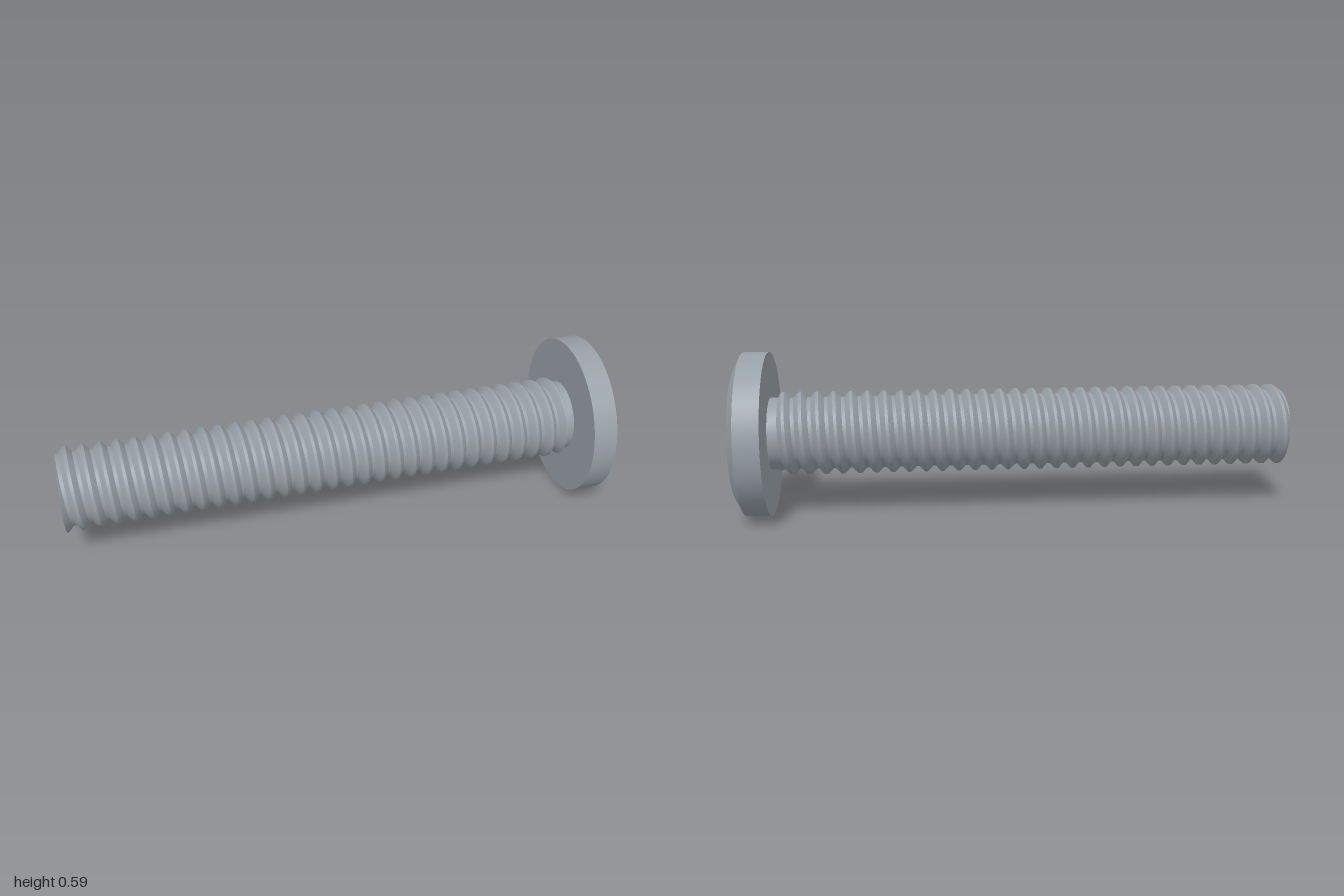
import * as THREE from 'three';
import { toCreasedNormals } from 'three/addons/utils/BufferGeometryUtils.js';

const HEAD_R = 0.295, FACE_R = 0.245, CORE_R = 0.13, THREAD_R = 0.15;
const HEX_R = 0.122, HEX_ANGLE = THREE.MathUtils.degToRad(-11);
const HEAD_Z = 0.884, THREAD_END = 0.85, PITCH = 0.06;

// Lathe around z instead of y; points are [radius, z]
function latheZ(points, segments, start = 0) {
  const pts = points.map(([r, z]) => new THREE.Vector2(r, z));
  return new THREE.LatheGeometry(pts, segments, start).rotateX(Math.PI / 2);
}

// One helical surface: profile rows are sheared along z by the angle, then clipped to the shank
function threadGeometry() {
  const profile = [[0, 0], [0.1, 0], [0.26, 0.55], [0.41, 1], [0.59, 1], [0.74, 0.55], [0.9, 0]];
  const height = (f) => {
    f -= Math.floor(f);
    for (let i = 1; i < profile.length; i++) {
      const [f0, h0] = profile[i - 1], [f1, h1] = profile[i];
      if (f <= f1) return h0 + (h1 - h0) * (f - f0) / (f1 - f0);
    }
    return 0;
  };
  const segments = 64, crest = -0.963;
  const first = crest - 0.75 * PITCH; // puts a crest on the top line
  const rows = [];
  for (let turn = -2; turn < 33; turn++) {
    for (const [f] of profile) rows.push(turn + f);
  }
  const pos = [], index = [];
  const addRow = (fn) => {
    for (let j = 0; j <= segments; j++) {
      const t = (j / segments) * Math.PI * 2;
      const [r, z] = fn(j / segments);
      pos.push(r * Math.cos(t), r * Math.sin(t), z);
    }
  };
  addRow(() => [0, -1]); // flat end
  for (const u of rows) {
    addRow((s) => {
      const z = THREE.MathUtils.clamp(first + (u + s) * PITCH, -1, THREAD_END);
      const h = height((z - first) / PITCH - s);
      return [CORE_R + (THREAD_R - CORE_R) * h, z];
    });
  }
  addRow(() => [CORE_R, THREAD_END]); // plain neck below the head
  addRow(() => [CORE_R, HEAD_Z]);
  const w = segments + 1, count = pos.length / 3 / w;
  for (let i = 0; i < count - 1; i++) {
    for (let j = 0; j < segments; j++) {
      const a = i * w + j, b = a + 1, c = a + w, d = c + 1;
      index.push(a, b, c, b, d, c);
    }
  }
  const geo = new THREE.BufferGeometry();
  geo.setAttribute('position', new THREE.Float32BufferAttribute(pos, 3));
  geo.setIndex(index);
  return toCreasedNormals(geo, 0.5);
}

export function createModel() {
  // Blue-grey steel
  const smooth = new THREE.MeshStandardMaterial({ color: 0x979fa7 });
  const flat = new THREE.MeshStandardMaterial({ color: 0x979fa7, flatShading: true });
  const model = new THREE.Group();
  model.name = 'screw';
  const add = (name, geo, mat = smooth) => {
    const mesh = new THREE.Mesh(geo, mat);
    mesh.name = name;
    model.add(mesh);
  };

  add('threadedShank', threadGeometry());

  // Low disc head with a chamfered rim
  const head = latheZ([[0.1, HEAD_Z], [HEAD_R, HEAD_Z], [HEAD_R, 0.973], [FACE_R, 1]], 96);
  add('head', toCreasedNormals(head, 0.4));

  // Front face with the hexagonal opening
  const face = new THREE.Shape().absarc(0, 0, FACE_R, 0, Math.PI * 2);
  const hex = [];
  for (let k = 0; k < 6; k++) {
    const a = HEX_ANGLE + k * Math.PI / 3;
    hex.push(new THREE.Vector2(HEX_R * Math.cos(a), HEX_R * Math.sin(a)));
  }
  face.holes.push(new THREE.Path(hex));
  add('headFace', new THREE.ShapeGeometry(face, 96).translate(0, 0, 1));

  // Hex socket: straight walls and a pointed floor
  const socket = latheZ([[HEX_R, 1], [HEX_R, 0.94], [0.01, 0.875], [0, 0.875]], 6, HEX_ANGLE + Math.PI / 2);
  add('hexSocket', socket, flat);

  // Lay the axis along x, resting on the head's rim
  model.rotation.y = Math.PI / 2;
  model.position.y = HEAD_R;
  const root = new THREE.Group();
  root.name = 'discHeadScrew';
  root.add(model);
  return root;
}
